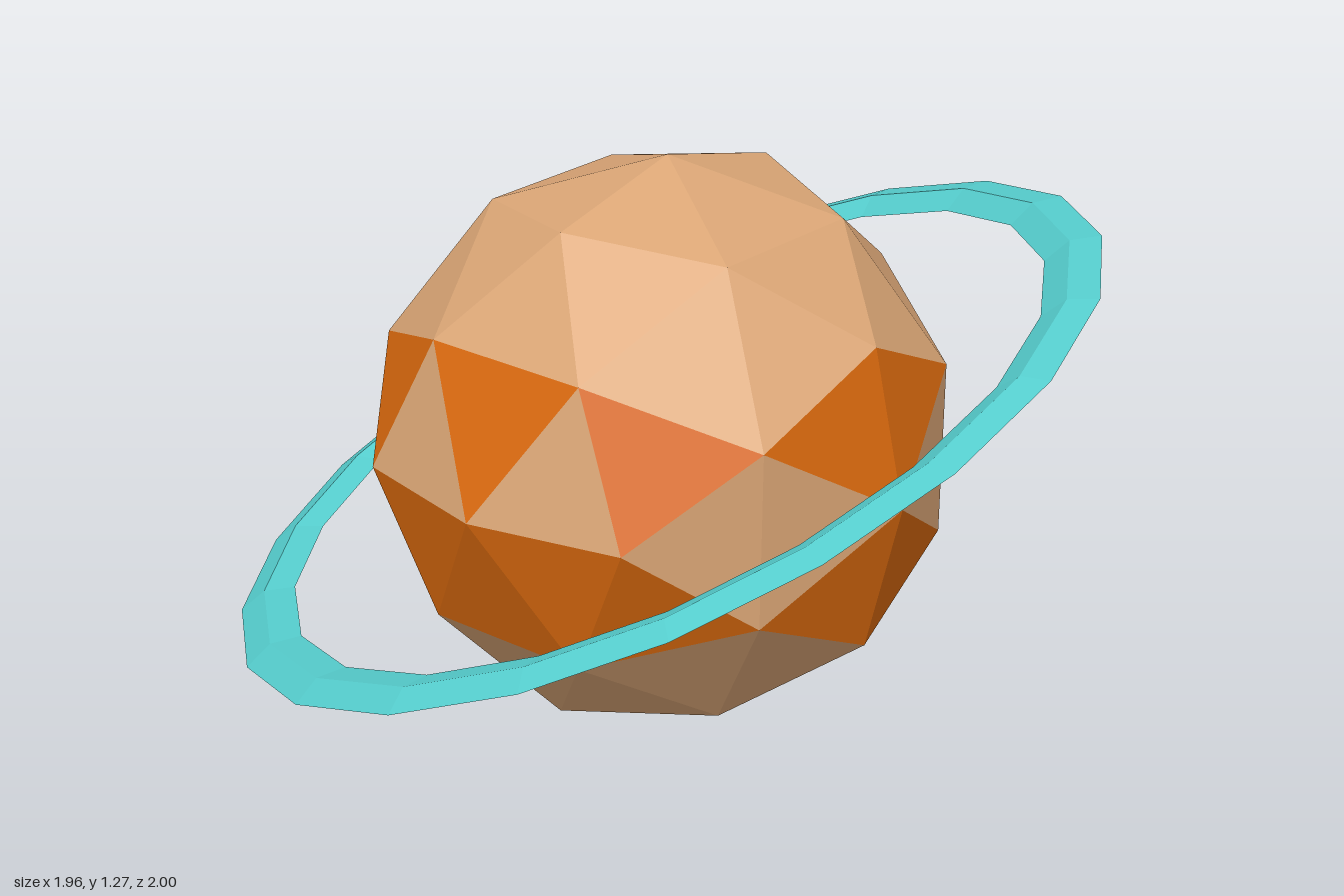
import * as THREE from 'three';

const flat = (name, color) => {
  const m = new THREE.MeshStandardMaterial({ color, flatShading: true });
  m.name = name;
  return m;
};

// Faceted ball of 80 triangles; the twelve five-sided corners stand out a little.
function ballGeometry() {
  const geo = new THREE.IcosahedronGeometry(1, 1).rotateY(Math.PI / 2);
  const pos = geo.attributes.position;
  const v = new THREE.Vector3();
  for (let i = 0; i < pos.count; i++) {
    v.fromBufferAttribute(pos, i);
    const zeros = v.toArray().filter((c) => Math.abs(c) < 1e-4).length;
    v.normalize().multiplyScalar(zeros === 1 ? 0.656 : 0.641);
    pos.setXYZ(i, v.x, v.y * 0.992, v.z);
  }
  return geo;
}

// Keeps only the triangles whose middle height passes the test.
function pickFaces(geo, test) {
  const pos = geo.attributes.position;
  const out = [];
  for (let i = 0; i < pos.count; i += 3) {
    const y = (pos.getY(i) + pos.getY(i + 1) + pos.getY(i + 2)) / 3;
    if (!test(y)) continue;
    for (let k = i; k < i + 3; k++) out.push(pos.getX(k), pos.getY(k), pos.getZ(k));
  }
  const g = new THREE.BufferGeometry();
  g.setAttribute('position', new THREE.Float32BufferAttribute(out, 3));
  g.computeVertexNormals();
  return g;
}

export function createModel() {
  const model = new THREE.Group();
  model.name = 'ringedPlanet';
  const tan = flat('tan', 0xdba676);
  const orange = flat('orange', 0xdb6a0e);
  const teal = flat('teal', 0x56cfcf);

  // Planet with two orange bands, one on each side of the equator
  const planet = new THREE.Group();
  planet.name = 'planet';
  const ball = ballGeometry();
  const isBand = (y) => (y > 0.135 && y < 0.27) || (y < -0.05 && y > -0.27);
  const surface = new THREE.Mesh(pickFaces(ball, (y) => !isBand(y)), tan);
  surface.name = 'planetSurface';
  const bands = new THREE.Mesh(pickFaces(ball, isBand), orange);
  bands.name = 'planetBands';
  planet.add(surface, bands);
  planet.position.set(0, 0.635, -0.006);
  planet.rotation.set(0, -0.02, -0.015);
  model.add(planet);

  // Tilted ring with a flattened diamond section
  const ringGeo = new THREE.TorusGeometry(0.972, 0.067, 4, 20).rotateX(Math.PI / 2).scale(1, 0.3, 1);
  const ring = new THREE.Mesh(ringGeo, teal);
  ring.name = 'ring';
  ring.position.y = 0.645;
  ring.rotation.set(0.275, 0, 0.345, 'ZYX');
  model.add(ring);

  return model;
}
